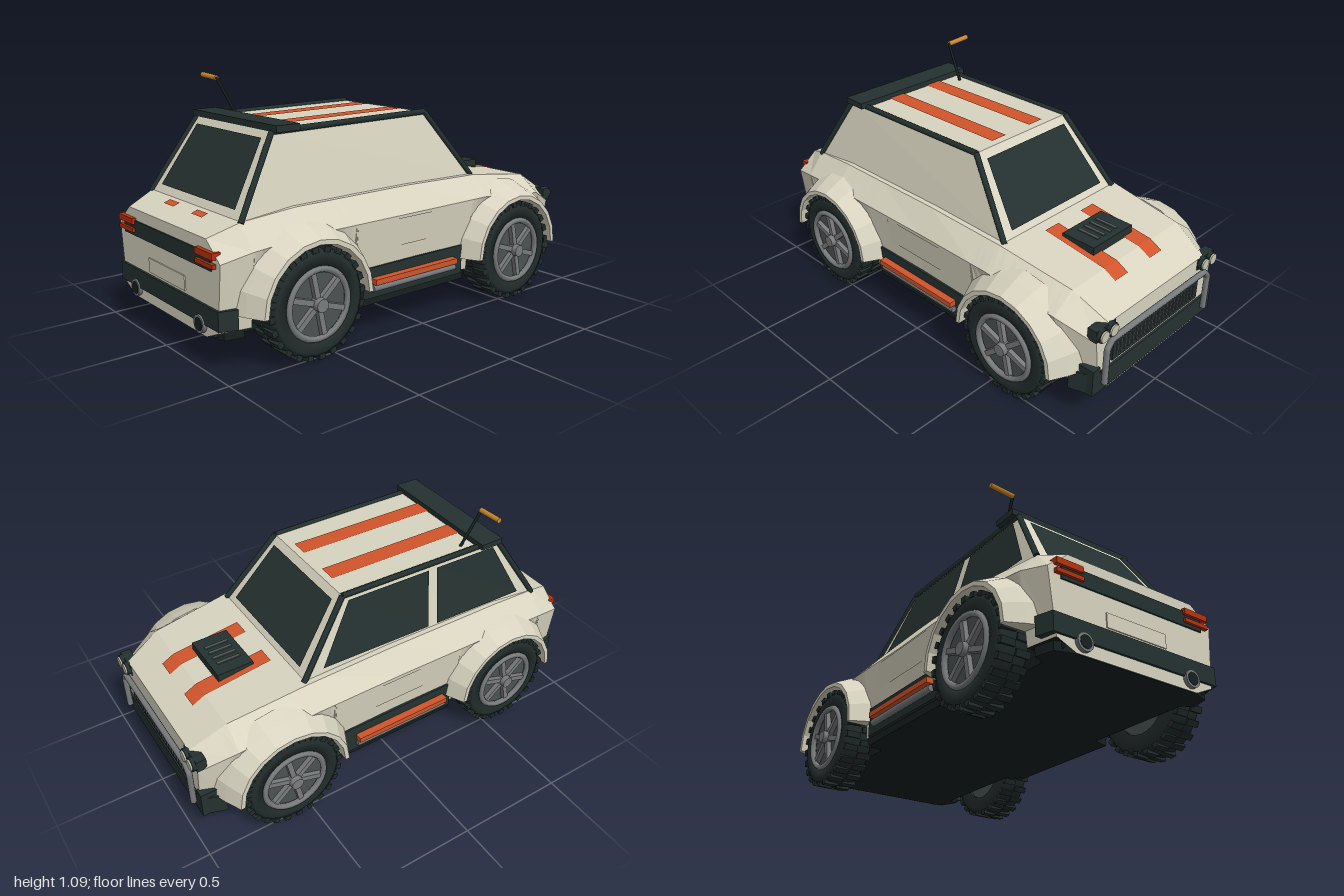
import * as THREE from 'three';

const mat = (name, color) => {
  const m = new THREE.MeshStandardMaterial({ color, side: THREE.DoubleSide });
  m.name = name;
  return m;
};

export function createModel() {
  const car = new THREE.Group();
  car.name = 'car';
  const cream = mat('cream paint', 0xd8d4c0), dark = mat('dark trim', 0x243130), under = mat('underbody black', 0x182020),
    rubber = mat('tyre rubber', 0x222d2c), orange = mat('stripe orange', 0xd2552c), red = mat('tail light red', 0xb8300c),
    grey = mat('metal grey', 0x797c7d), rimGrey = mat('dark rim grey', 0x4c5253), gold = mat('brass', 0xc98a2e), lamp = mat('lamp glass', 0xc9c8b2);

  // --- helpers ---
  const add = (name, geo, m, parent = car) => {
    const mesh = new THREE.Mesh(geo, m);
    mesh.name = name;
    parent.add(mesh);
    return mesh;
  };
  const box = (name, m, x0, x1, y0, y1, z0, z1, parent) =>
    add(name, new THREE.BoxGeometry(Math.abs(x1 - x0), y1 - y0, z1 - z0)
      .translate((x0 + x1) / 2, (y0 + y1) / 2, (z0 + z1) / 2), m, parent);
  // Flat-shaded skin over rows of points
  const loft = (name, m, rows) => {
    const n = rows[0].length, idx = [];
    for (let i = 0; i < rows.length - 1; i++)
      for (let j = 0; j < n - 1; j++) {
        const a = i * n + j, b = a + n;
        idx.push(a, a + 1, b, a + 1, b + 1, b);
      }
    const g = new THREE.BufferGeometry();
    g.setAttribute('position', new THREE.Float32BufferAttribute(rows.flat(2), 3));
    g.setIndex(idx);
    const flat = g.toNonIndexed();
    flat.computeVertexNormals();
    return add(name, flat, m);
  };
  const rod = (name, m, a, b, r, sides = 8) => {
    const A = new THREE.Vector3(...a), B = new THREE.Vector3(...b), d = B.clone().sub(A);
    const mesh = add(name, new THREE.CylinderGeometry(r, r, d.length(), sides), m);
    mesh.position.copy(A).add(B).multiplyScalar(0.5);
    mesh.quaternion.setFromUnitVectors(new THREE.Vector3(0, 1, 0), d.normalize());
    return mesh;
  };
  // Symmetric plan outline [halfWidth, z] extruded upward from y0 to y1
  const plan = (name, m, half, y0, y1) => {
    const pts = [...half, ...half.map(([x, z]) => [-x, z]).reverse()].map(([x, z]) => new THREE.Vector2(x, -z));
    const g = new THREE.ExtrudeGeometry(new THREE.Shape(pts), { depth: y1 - y0, bevelEnabled: false });
    return add(name, g.rotateX(-Math.PI / 2).translate(0, y0, 0), m);
  };
  const sides = fn => [1, -1].forEach(fn);

  // --- body shell: z, crease x, crease y, shoulder x, shoulder y ---
  const stations = [
    [-0.965, 0.40, 0.40, 0.33, 0.465], [-0.8, 0.465, 0.475, 0.36, 0.553], [-0.43, 0.47, 0.51, 0.385, 0.602],
    [0, 0.463, 0.505, 0.385, 0.61], [0.6, 0.47, 0.505, 0.385, 0.605], [0.85, 0.455, 0.48, 0.37, 0.58], [0.98, 0.43, 0.45, 0.33, 0.53]];
  const wheelZ = [-0.585, 0.595], wheelY = 0.235, archR = 0.25;
  const section = z => {
    let i = 0;
    while (i < stations.length - 2 && z > stations[i + 1][0]) i++;
    const a = stations[i], b = stations[i + 1], t = (z - a[0]) / (b[0] - a[0]);
    const [, xm, ym, xs, ys] = a.map((v, k) => v + (b[k] - v) * t);
    const dz = Math.min(...wheelZ.map(w => Math.abs(z - w)));
    const yl = dz <= archR ? Math.min(ym - 0.005, wheelY + Math.sqrt(archR * archR - dz * dz)) : 0.17;
    return { xl: xm - 0.03, yl, xm, ym, xs, ys };
  };
  const zs = stations.map(s => s[0]);
  wheelZ.forEach(w => {
    zs.push(w - archR - 0.001, w + archR + 0.001);
    for (let i = 0; i <= 12; i++) zs.push(w - (archR - 1e-6) * Math.cos(i * Math.PI / 12));
  });
  zs.sort((a, b) => a - b);
  loft('bodyShell', cream, zs.map(z => {
    const { xl, yl, xm, ym, xs, ys } = section(z);
    return [[-xl, yl, z], [-xm, ym, z], [-xs, ys, z], [xs, ys, z], [xm, ym, z], [xl, yl, z]];
  }));
  sides(s => loft('wheelWells', under, zs.map(z => {
    const { xl, yl } = section(z);
    return [[s * xl, yl, z], [s * 0.36, yl, z], [s * 0.36, 0.14, z]];
  })));
  [['noseFace', -0.965], ['tailFace', 0.98]].forEach(([name, z]) => {
    const { xl, xm, ym, xs, ys } = section(z);
    const half = [[0.31, 0.13], [xl, 0.17], [xm, ym], [xs, ys]];
    const pts = [...half, ...half.map(([x, y]) => [-x, y]).reverse()].map(p => new THREE.Vector2(...p));
    const g = new THREE.ShapeGeometry(new THREE.Shape(pts));
    if (z < 0) g.rotateY(Math.PI);
    add(name, g.translate(0, 0, z), cream);
  });
  plan('floorTray', under, [[0.31, 0.975], [0.39, 0.95], [0.41, 0.87], [0.36, 0.85], [0.36, 0.34], [0.44, 0.32],
    [0.44, -0.31], [0.36, -0.33], [0.36, -0.84], [0.41, -0.86], [0.37, -0.95], [0.31, -0.96]], 0.13, 0.172);

  // --- cabin, each face a four-corner patch: bottom pair, then top pair ---
  const P = { br: s => [s * 0.37, 0.575, 0.85], bf: s => [s * 0.36, 0.598, -0.43], tr: s => [s * 0.295, 0.9, 0.65], tf: s => [s * 0.285, 0.91, -0.19] };
  const faces = {
    rear: [P.br(-1), P.br(1), P.tr(1), P.tr(-1)], front: [P.bf(1), P.bf(-1), P.tf(-1), P.tf(1)],
    left: [P.br(1), P.bf(1), P.tf(1), P.tr(1)], right: [P.bf(-1), P.br(-1), P.tr(-1), P.tf(-1)],
    roof: [P.tr(-1), P.tr(1), P.tf(1), P.tf(-1)]
  };
  const plate = (name, m, face, uv, lift) => {
    const [a, b, c, d] = faces[face].map(p => new THREE.Vector3(...p));
    const n = b.clone().sub(a).cross(d.clone().sub(a)).normalize().multiplyScalar(lift);
    const q = uv.map(([u, v]) => a.clone().lerp(b, u).lerp(d.clone().lerp(c, u), v).add(n).toArray());
    return loft(name, m, [[q[3], q[2]], [q[0], q[1]]].reverse());
  };
  Object.keys(faces).forEach(f => plate(f + 'CabinPanel', cream, f, [[0, 0], [1, 0], [1, 1], [0, 1]], 0));
  plate('rearWindow', dark, 'rear', [[0.08, 0.11], [0.92, 0.11], [0.925, 0.91], [0.075, 0.91]], 0.006);
  plate('windshield', dark, 'front', [[0.08, 0.09], [0.92, 0.09], [0.925, 0.9], [0.075, 0.9]], 0.006);
  plate('frontSideWindow', dark, 'right', [[0.06, 0.1], [0.51, 0.1], [0.53, 0.92], [0.05, 0.92]], 0.006);
  plate('rearSideWindow', dark, 'right', [[0.55, 0.1], [0.94, 0.1], [0.95, 0.92], [0.58, 0.92]], 0.006);

  // --- cabin trim and rear spoiler ---
  sides(s => {
    rod('rearPillarTrim', dark, P.br(s), P.tr(s), 0.014, 6);
    rod('roofRail', dark, P.tr(s), P.tf(s), 0.014, 6);
    rod('frontPillarTrim', dark, P.tf(s), P.bf(s), 0.014, 6);
  });
  box('roofSpoiler', dark, -0.33, 0.33, 0.9, 0.928, 0.535, 0.65);

  // --- painted stripes ---
  sides(s => {
    const strip = (name, list, yAt) => loft(name, orange, list.map(z => [[s * 0.075, yAt(z), z], [s * 0.16, yAt(z), z]]));
    const deck = z => section(z).ys + 0.005;
    strip('roofStripe', [-0.16, 0.535], z => 0.9 + (0.65 - z) / 0.84 * 0.01 + 0.005);
    strip('hoodStripe', [-0.86, -0.8, -0.48], deck);
    strip('rearDeckStripe', [0.87, 0.9], deck);
  });

  // --- hood scoop ---
  box('hoodScoop', dark, -0.13, 0.13, 0.56, 0.605, -0.72, -0.55);
  for (let i = 0; i < 4; i++) {
    const x = -0.06 + i * 0.04;
    box('scoopSlat', rimGrey, x - 0.008, x + 0.008, 0.6, 0.61, -0.69, -0.58);
  }

  // --- door panels, sills and side steps ---
  sides(s => {
    loft('doorPanel', cream, [[0.37, 0.456], [0.495, 0.468]].map(([y, x]) => [[s * x, y, -0.2], [s * x, y, 0.215]]));
    box('sillPanel', dark, s * 0.40, s * 0.456, 0.165, 0.3, -0.285, 0.31);
    box('sillStripe', orange, s * 0.45, s * 0.49, 0.23, 0.255, -0.225, 0.265);
    rod('sideStep', grey, [s * 0.465, 0.21, -0.225], [s * 0.465, 0.21, 0.265], 0.016);
  });

  // --- flared fenders: section as [x, radius] swept over each wheel ---
  const flare = [[0.4, 0.33], [0.465, 0.305], [0.542, 0.268], [0.542, 0.248], [0.4, 0.248], [0.4, 0.33]];
  wheelZ.forEach(w => sides(s => {
    const rows = [];
    for (let i = 0; i <= 10; i++) {
      const a = i * Math.PI / 10;
      rows.push(flare.map(([x, r]) => [s * x, wheelY + r * Math.sin(a), w + r * Math.cos(a)]));
    }
    const cap = row => row.map(() => [s * 0.46, row[2][1], row[3][2]]);
    loft('fender', cream, [cap(rows[0]), ...rows, cap(rows[10])]);
  }));

  // --- wheels, built facing +x ---
  const tyre = [[0.14, -0.07], [0.2, -0.075], [0.222, -0.06], [0.228, 0], [0.222, 0.06], [0.2, 0.073], [0.15, 0.068], [0.14, -0.07]];
  wheelZ.forEach(w => sides(s => {
    const wheel = new THREE.Group();
    wheel.name = 'wheel';
    const turn = g => g.rotateZ(-Math.PI / 2);
    add('tyre', turn(new THREE.LatheGeometry(tyre.map(p => new THREE.Vector2(...p)), 32)), rubber, wheel);
    for (let i = 0; i < 24; i++)
      sides(k => {
        const lug = box('treadLug', rubber, k * 0.004, k * 0.07, 0.212, 0.235, -0.014, 0.014, wheel);
        lug.rotation.x = (i + k * 0.25) * Math.PI / 12;
      });
    add('rimDisc', turn(new THREE.CylinderGeometry(0.15, 0.15, 0.1, 32)), rimGrey, wheel);
    add('rimRing', new THREE.TorusGeometry(0.144, 0.014, 6, 32).rotateY(Math.PI / 2).translate(0.068, 0, 0), grey, wheel);
    for (let i = 0; i < 6; i++)
      box('spoke', grey, 0.045, 0.072, 0.02, 0.142, -0.012, 0.012, wheel).rotation.x = i * Math.PI / 3 + 0.2;
    add('hub', turn(new THREE.CylinderGeometry(0.028, 0.032, 0.05, 12)).translate(0.07, 0, 0), grey, wheel);
    wheel.position.set(s * 0.456, wheelY, w);
    if (s < 0) wheel.rotation.y = Math.PI;
    car.add(wheel);
  }));

  // --- tail end ---
  box('tailPanel', dark, -0.37, 0.37, 0.412, 0.48, 0.96, 0.987);
  sides(s => {
    box('upperTailLight', red, s * 0.27, s * 0.4, 0.463, 0.49, 0.96, 0.998);
    box('lowerTailLight', red, s * 0.27, s * 0.4, 0.428, 0.446, 0.96, 0.998);
    rod('exhaustPipe', grey, [s * 0.277, 0.178, 0.9], [s * 0.277, 0.178, 0.997], 0.038, 20);
    rod('exhaustBore', under, [s * 0.277, 0.178, 0.95], [s * 0.277, 0.178, 0.999], 0.028, 20);
  });
  box('plateRecess', cream, -0.155, 0.155, 0.277, 0.34, 0.978, 0.985);
  plan('rearBumper', dark, [[0.443, 0.915], [0.42, 0.99]], 0.183, 0.265);

  // --- nose ---
  plan('frontBumper', dark, [[0.445, -0.87], [0.41, -0.975]].reverse(), 0.15, 0.245);
  sides(s => box('bumperCorner', dark, s * 0.375, s * 0.42, 0.15, 0.275, -0.975, -0.9));
  box('grille', dark, -0.3, 0.3, 0.265, 0.37, -0.975, -0.95);
  for (let i = 0; i < 22; i++) {
    const x = -0.273 + i * 0.026;
    box('grilleSlat', rimGrey, x - 0.005, x + 0.005, 0.285, 0.35, -0.98, -0.97);
  }
  sides(s => {
    box('headlightHousing', dark, s * 0.29, s * 0.41, 0.41, 0.465, -0.97, -0.925);
    [0.32, 0.38].forEach(x => {
      rod('headlightRim', dark, [s * x, 0.437, -0.93], [s * x, 0.437, -0.985], 0.031, 16);
      rod('headlightLens', lamp, [s * x, 0.437, -0.95], [s * x, 0.437, -0.992], 0.025, 16);
    });
  });
  const bar = [[-0.355, 0.19], [-0.355, 0.36], [-0.325, 0.395], [0.325, 0.395], [0.355, 0.36], [0.355, 0.19]];
  const path = new THREE.CurvePath();
  for (let i = 0; i < bar.length - 1; i++)
    path.add(new THREE.LineCurve3(new THREE.Vector3(...bar[i], -0.986), new THREE.Vector3(...bar[i + 1], -0.986)));
  add('bullBar', new THREE.TubeGeometry(path, 80, 0.014, 8), grey);

  // --- wind-up crank on the roof ---
  rod('crankArm', under, [-0.247, 0.9, 0.475], [-0.262, 1.072, 0.567], 0.007);
  rod('crankHandle', gold, [-0.26, 1.068, 0.565], [-0.382, 1.075, 0.565], 0.0125, 12);
  return car;
}
